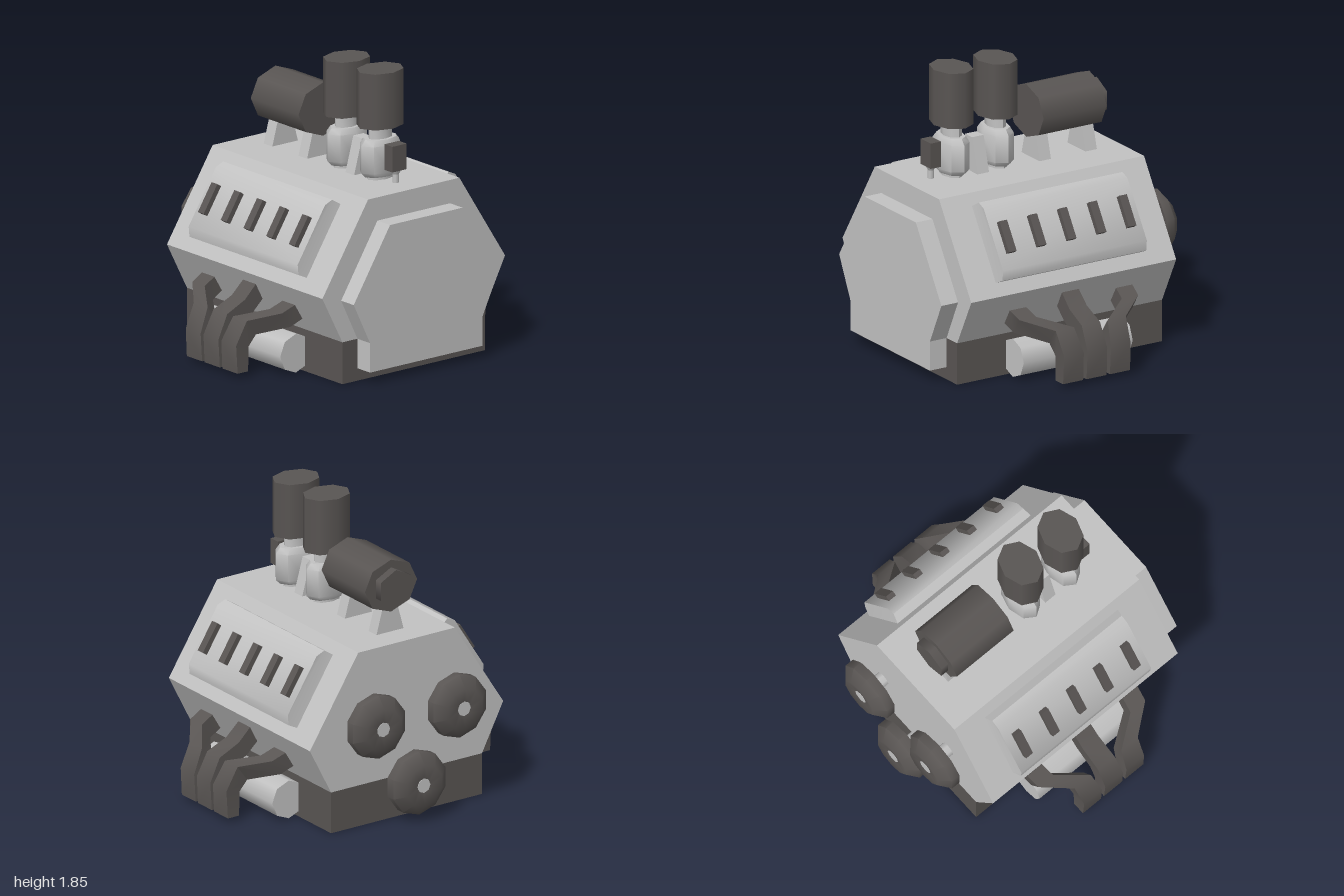
import * as THREE from 'three';
import { toCreasedNormals } from 'three/addons/utils/BufferGeometryUtils.js';

export function createModel() {
  const root = new THREE.Group();
  const light = new THREE.MeshStandardMaterial({ color: 0xc2c2c2 });
  light.name = 'light metal';
  const dark = new THREE.MeshStandardMaterial({ color: 0x595553 });
  dark.name = 'dark metal';

  const add = (name, geo, mat) => {
    const m = new THREE.Mesh(geo, mat);
    m.name = name;
    root.add(m);
    return m;
  };

  // reflect a geometry across x = 0, keeping faces outward
  const mirrored = (geo) => {
    const g = geo.index ? geo.toNonIndexed() : geo.clone();
    g.scale(-1, 1, 1);
    for (const a of Object.values(g.attributes)) {
      const n = a.itemSize;
      for (let i = 0; i < a.count; i += 3) {
        for (let k = 0; k < n; k++) {
          const p = (i + 1) * n + k, q = (i + 2) * n + k;
          [a.array[p], a.array[q]] = [a.array[q], a.array[p]];
        }
      }
    }
    return g;
  };
  const addPair = (name, geo, mat) => {
    add(name + 'Left', geo, mat);
    add(name + 'Right', mirrored(geo), mat);
  };

  const extrude = (pts, z0, z1) => new THREE.ExtrudeGeometry(
    new THREE.Shape(pts.map(([x, y]) => new THREE.Vector2(x, y))),
    { depth: z1 - z0, bevelEnabled: false }).translate(0, 0, z0);
  const symmetric = (half) => [...half, ...half.map(([x, y]) => [-x, y]).reverse()];
  const box = (w, h, d, x, y, z) => new THREE.BoxGeometry(w, h, d).translate(x, y, z);

  // engine block, sump and front cover
  add('block', extrude(symmetric([[0.57, 0.27], [0.73, 0.58], [0.365, 1.15]]), -0.715, 0.79), light);
  add('sump', box(1.14, 0.27, 1.505, 0, 0.135, 0.0375), dark);
  add('frontCover', extrude(symmetric([[0.45, 0.08], [0.45, 0.27], [0.58, 0.54], [0.29, 1.0]]), 0.78, 0.912), light);

  // valve covers lie on the sloping shoulders of the block
  const onShoulder = (g) => g.rotateZ(-1.002).translate(0.365, 1.15, 0.035);
  const cover = extrude([[0.083, -0.02], [0.083, 0.065], [0.134, 0.1], [0.54, 0.1], [0.593, 0.058], [0.583, -0.02]], -0.547, 0.547);
  const cp = cover.attributes.position;
  for (let i = 0; i < cp.count; i++) if (cp.getY(i) > 0.03) cp.setZ(i, cp.getZ(i) * 0.965);
  addPair('valveCover', toCreasedNormals(onShoulder(cover), 0.9), light);
  for (let i = 0; i < 5; i++) {
    addPair('coverSlot' + (i + 1), onShoulder(box(0.203, 0.06, 0.056, 0.338, 0.105, (i - 2) * 0.22)), dark);
  }

  // side tanks
  addPair('sideTank', new THREE.CylinderGeometry(0.125, 0.125, 0.8, 8)
    .rotateX(Math.PI / 2).translate(0.645, 0.13, 0.03), light);

  // exhaust pipes: rectangular rings [outerX, outerY, innerX, innerY, z, halfWidth]
  const pipe = (stations) => {
    const rings = stations.map(([ox, oy, ix, iy, z, w]) =>
      [[ox, oy, z - w], [ox, oy, z + w], [ix, iy, z + w], [ix, iy, z - w]]);
    const pos = [];
    const quad = (a, b, c, d) => pos.push(...a, ...b, ...c, ...a, ...c, ...d);
    for (let i = 0; i + 1 < rings.length; i++) {
      for (let k = 0; k < 4; k++) {
        const n = (k + 1) % 4;
        quad(rings[i][k], rings[i][n], rings[i + 1][n], rings[i + 1][k]);
      }
    }
    quad(...[...rings[0]].reverse());
    quad(...rings[rings.length - 1]);
    const g = new THREE.BufferGeometry();
    g.setAttribute('position', new THREE.Float32BufferAttribute(pos, 3));
    return toCreasedNormals(g, 0.8);
  };
  const zMid = 0.038;
  for (const side of [-1, 0, 1]) {
    const at = (d) => zMid + side * d;
    const start = side === 0
      ? [[0.685, 0.515, 0.62, 0.42, zMid, 0.062], [0.78, 0.425, 0.72, 0.33, zMid, 0.064]]
      : [[0.70, 0.465, 0.64, 0.365, at(0.39), 0.06], [0.79, 0.425, 0.725, 0.325, at(0.375), 0.06]];
    addPair('exhaustPipe' + (side + 2), pipe([
      ...start,
      [0.925, 0.36, 0.853, 0.26, at(0.19), 0.067],
      [1.0, 0.21, 0.90, 0.19, at(0.172), 0.072],
      [0.99, 0.03, 0.906, 0.03, at(0.172), 0.074],
    ]), dark);
  }

  // rear pulleys on short axles
  const rim = [[0.045, 0], [0.207, 0], [0.207, 0.06], [0.135, 0.12], [0.047, 0.108]]
    .map(([r, y]) => new THREE.Vector2(r, y));
  [[-0.305, 0.685], [0.305, 0.685], [0, 0.245]].forEach(([x, y], i) => {
    add('pulley' + (i + 1), toCreasedNormals(new THREE.LatheGeometry(rim, 10), 0.9)
      .rotateX(-Math.PI / 2).translate(x, y, -0.792), dark);
    add('pulleyAxle' + (i + 1), new THREE.CylinderGeometry(0.048, 0.048, 0.205, 8)
      .rotateX(Math.PI / 2).translate(x, y, -0.8), light);
  });

  // two intakes, each with an oval filter on top
  const intake = [[0, 1.14], [0.65, 1.14], [0.65, 1.17], [0.8, 1.17], [1, 1.2], [1, 1.375], [0.8, 1.41],
    [0.58, 1.41], [0.58, 1.5]].map(([r, y]) => new THREE.Vector2(r, y));
  [0.14, 0.465].forEach((z, i) => {
    add('intake' + (i + 1), toCreasedNormals(new THREE.LatheGeometry(intake, 8).scale(0.15, 1, 0.095), 0.9)
      .translate(0, 0, z), light);
    add('intakeFilter' + (i + 1), new THREE.CylinderGeometry(1, 1, 0.36, 8)
      .scale(0.16, 1, 0.127).translate(0, 1.67, z), dark);
  });

  // tapered brackets between the intakes and under the rear canister
  const bracket = symmetric([[0.105, 1.14], [0.04, 1.375]]);
  [0.295, -0.16, -0.497].forEach((z, i) =>
    add('bracket' + (i + 1), extrude(bracket, z - 0.042, z + 0.042), light));

  // rear canister with end cap
  add('canister', new THREE.CylinderGeometry(1, 1, 0.463, 8).rotateX(Math.PI / 2)
    .scale(0.197, 0.172, 1).translate(0, 1.458, -0.318), dark);
  add('canisterCap', new THREE.CylinderGeometry(0.12, 0.12, 0.07, 6).rotateX(Math.PI / 2)
    .scale(1.1, 1, 1).translate(0, 1.46, -0.57), dark);

  // small sensor on a stalk
  add('sensorStalk', new THREE.CylinderGeometry(0.02, 0.02, 0.1, 8).translate(0, 1.19, 0.615), light);
  add('sensorCollar', new THREE.CylinderGeometry(0.036, 0.02, 0.03, 8).translate(0, 1.22, 0.615), light);
  add('sensor', box(0.115, 0.165, 0.075, 0, 1.315, 0.615), dark);

  return root;
}
